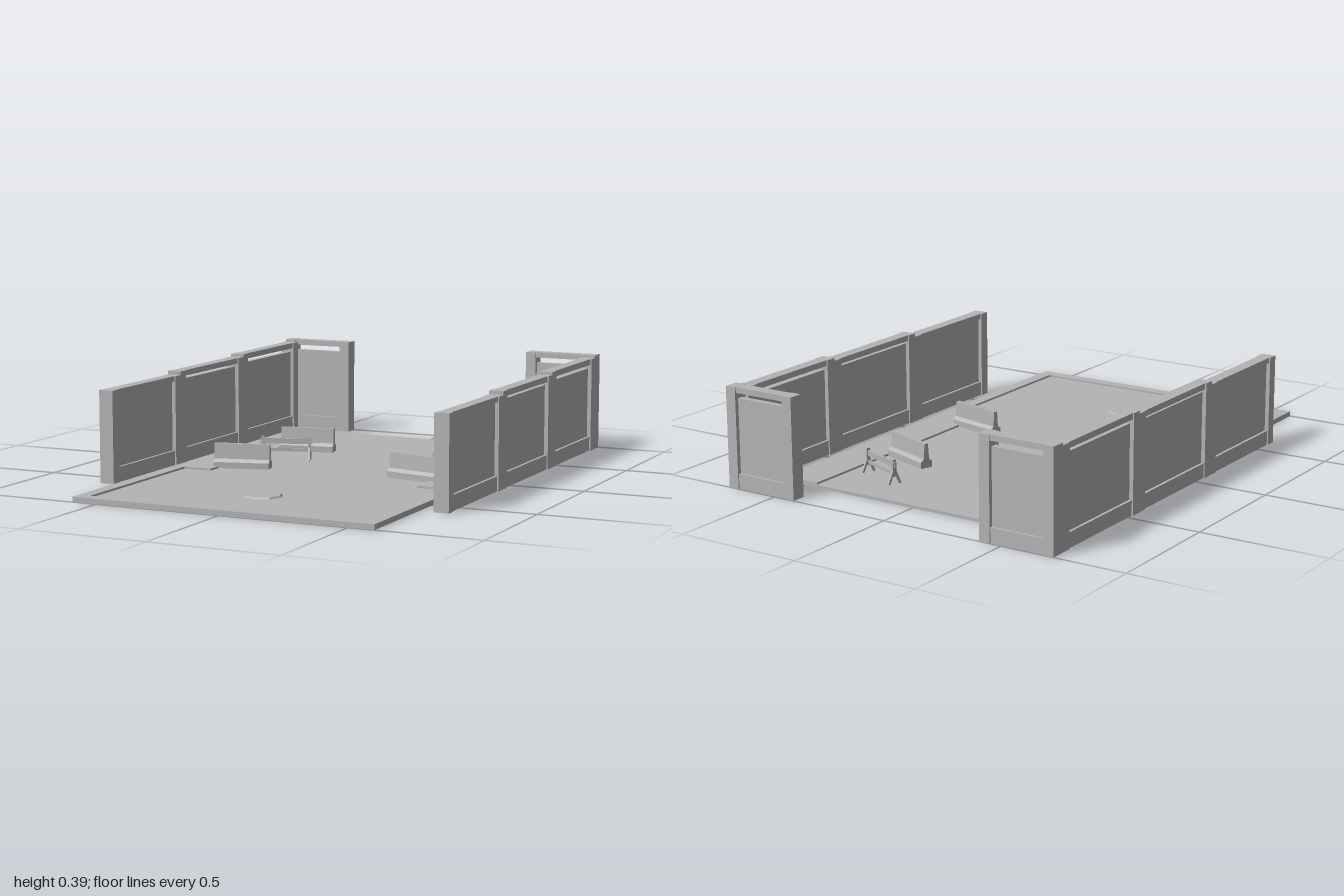
import * as THREE from 'three';

const grey = new THREE.MeshStandardMaterial({ color: 0xb4b4b4, flatShading: true });
grey.name = 'plain grey';

const FLOOR = 0.012;

function add(parent, name, geometry, x = 0, y = 0, z = 0) {
  const mesh = new THREE.Mesh(geometry, grey);
  mesh.name = name;
  mesh.position.set(x, y, z);
  parent.add(mesh);
  return mesh;
}

// Box given by its lower and upper corners
function block(parent, name, [x0, y0, z0], [x1, y1, z1]) {
  return add(parent, name, new THREE.BoxGeometry(x1 - x0, y1 - y0, z1 - z0),
    (x0 + x1) / 2, (y0 + y1) / 2, (z0 + z1) / 2);
}

// Framed wall bay running along x, centred on its own origin
function wallBay(name, length, top, opening, panelTop) {
  const bay = new THREE.Group();
  bay.name = name;
  const h = length / 2, post = 0.043, p = 0.029, r = 0.024;
  for (const s of [-1, 1]) {
    add(bay, 'post', new THREE.BoxGeometry(post, top, p * 2), s * (h - post / 2), top / 2, 0);
  }
  const inner = h - post;
  block(bay, 'bottomRail', [-inner, 0, -r], [inner, 0.058, r]);
  block(bay, 'topRail', [-inner, opening, -r], [inner, top, r]);
  block(bay, 'panel', [-inner, 0.058, -0.013], [inner, panelTop, 0.013]);
  return bay;
}

// One side of the enclosure: three stepped bays and a short return at the back
function wallRun(side) {
  const run = new THREE.Group();
  run.name = side > 0 ? 'leftWall' : 'rightWall';
  const bays = [
    [0.62, 0.10, 0.356, 0.335, 0.335],
    [0.10, -0.43, 0.37, 0.347, 0.335],
    [-0.43, -0.942, 0.381, 0.358, 0.342],
  ];
  for (const [z0, z1, top, opening, panelTop] of bays) {
    const bay = wallBay('sideBay', z0 - z1, top, opening, panelTop);
    bay.rotation.y = Math.PI / 2;
    bay.position.set(side * 0.685, 0, (z0 + z1) / 2);
    run.add(bay);
  }
  const back = wallBay('backBay', 0.304, 0.391, 0.369, 0.346);
  back.position.set(side * 0.562, 0, -0.971);
  run.add(back);
  return run;
}

// Road barrier with a wide foot and a narrow upright
function barrier() {
  const group = new THREE.Group();
  group.name = 'barrier';
  const half = [[0.026, 0], [0.026, 0.024], [0.012, 0.036], [0.008, 0.096]];
  const outline = [...half, ...half.map(([x, y]) => [-x, y]).reverse()];
  const shape = new THREE.Shape(outline.map(([x, y]) => new THREE.Vector2(x, y)));
  const geometry = new THREE.ExtrudeGeometry(shape, { depth: 0.222, bevelEnabled: false });
  geometry.translate(0, 0, -0.111).rotateY(Math.PI / 2);
  add(group, 'barrierBody', geometry);
  return group;
}

// Trestle with splayed legs at both ends and two planks
function trestle() {
  const group = new THREE.Group();
  group.name = 'trestle';
  block(group, 'upperPlank', [-0.105, 0.066, -0.004], [0.105, 0.088, 0.004]);
  block(group, 'lowerPlank', [-0.09, 0.035, -0.003], [0.09, 0.048, 0.003]);
  for (const x of [-0.093, 0.093]) {
    block(group, 'endPost', [x - 0.005, 0.03, -0.007], [x + 0.005, 0.096, 0.007]);
    for (const s of [-1, 1]) {
      const leg = add(group, 'leg', new THREE.BoxGeometry(0.01, 0.06, 0.008), x, 0.029, s * 0.013);
      leg.rotation.x = -s * 0.4;
    }
  }
  return group;
}

export function createModel() {
  const model = new THREE.Group();
  model.name = 'yard';

  // Ground slab with a raised border around a sunken floor
  const floor = new THREE.Group();
  floor.name = 'floor';
  model.add(floor);
  block(floor, 'slab', [-0.6, 0, -0.83], [0.6, FLOOR, 1]);
  const border = new THREE.Shape([
    [-0.6, 1], [0.6, 1], [0.6, -0.83], [0.437, -0.83], [0.437, 0.262], [0.552, 0.262],
    [0.552, 0.948], [0.546, 0.954], [-0.546, 0.954], [-0.552, 0.948], [-0.552, 0.262],
    [-0.437, 0.262], [-0.437, -0.83], [-0.6, -0.83],
  ].map(([x, z]) => new THREE.Vector2(x, -z)));
  const rim = new THREE.ExtrudeGeometry(border, { depth: 0.02 - FLOOR, bevelEnabled: false });
  add(floor, 'border', rim.rotateX(-Math.PI / 2), 0, FLOOR, 0);
  add(floor, 'manholeCover', new THREE.CylinderGeometry(0.067, 0.072, 0.007, 8), 0, FLOOR + 0.0035, 0.655);

  for (const side of [-1, 1]) model.add(wallRun(side));

  // Obstacles: builder, x, z, turn
  const obstacles = [
    [barrier, -0.307, -0.333, 0.19],
    [barrier, 0.323, -0.4, -0.34],
    [barrier, -0.355, 0.148, 0.24],
    [barrier, 0.355, 0.1, -0.22],
    [trestle, 0.287, -0.632, -0.38],
    [trestle, -0.285, -0.093, 0.31],
  ];
  for (const [build, x, z, turn] of obstacles) {
    const item = build();
    item.position.set(x, FLOOR, z);
    item.rotation.y = turn;
    model.add(item);
  }
  return model;
}
